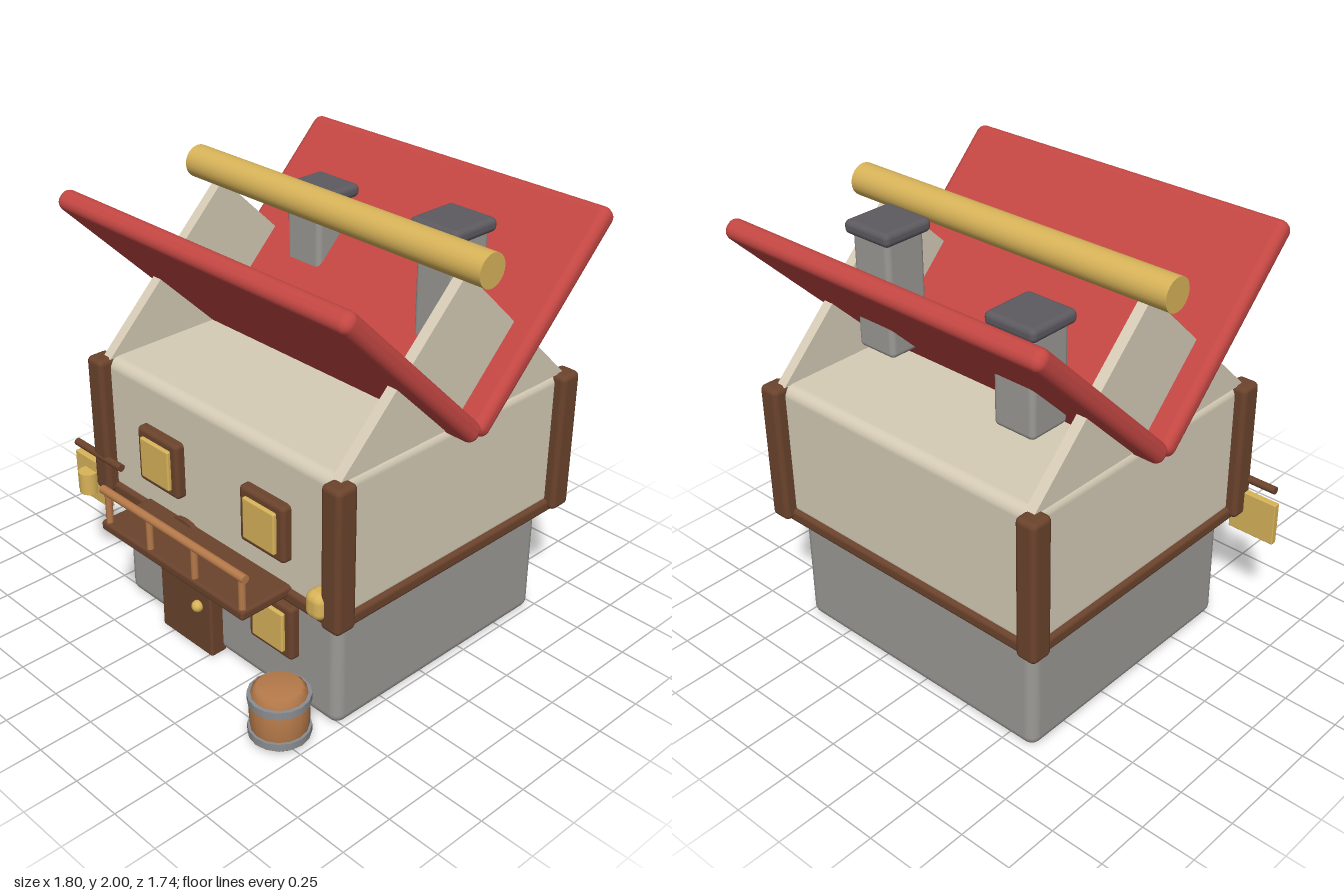
import * as THREE from 'three';
import { RoundedBoxGeometry } from 'three/addons/geometries/RoundedBoxGeometry.js';

const mat = (name, color) => Object.assign(new THREE.MeshStandardMaterial({ color }), { name });

export function createModel() {
  const model = new THREE.Group();
  model.name = 'house';
  const stone = mat('stone', 0x9c9a96);
  const plaster = mat('plaster', 0xd6ccb6);
  const darkWood = mat('dark wood', 0x6b432c);
  const lightWood = mat('light wood', 0xb67a4a);
  const red = mat('red roof', 0xc44743);
  const gold = mat('gold', 0xd8b359);
  const slate = mat('slate', 0x5d5a60);
  const iron = mat('iron', 0x8b8d90);

  const CX = 0.045, CZ = -0.096; // centre of the house body

  const add = (name, geometry, material, x, y, z) => {
    const mesh = new THREE.Mesh(geometry, material);
    mesh.name = name;
    mesh.position.set(x, y, z);
    model.add(mesh);
    return mesh;
  };
  // Rounded box given by its minimum and maximum along each axis
  const box = (name, material, [x0, x1], [y0, y1], [z0, z1], r = 0.015) =>
    add(name, new RoundedBoxGeometry(x1 - x0, y1 - y0, z1 - z0, 3, r), material,
      (x0 + x1) / 2, (y0 + y1) / 2, (z0 + z1) / 2);
  const rod = (name, material, r, length, x, y, z, axis = 'y', sides = 16) => {
    const g = new THREE.CylinderGeometry(r, r, length, sides);
    if (axis === 'x') g.rotateZ(Math.PI / 2);
    if (axis === 'z') g.rotateX(Math.PI / 2);
    return add(name, g, material, x, y, z);
  };

  // Storeys, and the timber band between them
  box('groundFloor', stone, [-0.65, 0.74], [0, 0.57], [-0.725, 0.535], 0.05);
  box('upperFloor', plaster, [-0.69, 0.78], [0.57, 1.23], [-0.765, 0.573], 0.05);
  box('timberBand', darkWood, [-0.71, 0.8], [0.545, 0.61], [-0.785, 0.593], 0.02);

  // Corner posts
  for (const sx of [-1, 1]) for (const sz of [-1, 1]) {
    const x = CX + sx * 0.735, z = CZ + sz * 0.67;
    box('cornerPost', darkWood, [x - 0.052, x + 0.052], [0.562, 1.23], [z - 0.055, z + 0.055], 0.025);
  }

  // Gable walls
  const triangle = new THREE.Shape([
    new THREE.Vector2(-0.667, 0), new THREE.Vector2(0.667, 0), new THREE.Vector2(0, 0.655),
  ]);
  const gable = new THREE.ExtrudeGeometry(triangle, { depth: 0.05, bevelEnabled: false });
  gable.translate(0, 0, -0.025).rotateY(Math.PI / 2);
  for (const s of [-1, 1]) add('gable', gable, plaster, CX + s * 0.71, 1.225, CZ);

  // Roof slabs spread upward in a V, with the ridge pole above
  for (const s of [-1, 1]) {
    const slab = add('roofSlab', new RoundedBoxGeometry(1.705, 0.092, 1.067, 4, 0.04), red,
      0.047, 1.587, CZ + s * 0.378);
    slab.rotation.x = -s * Math.PI / 4;
  }
  rod('ridgePole', gold, 0.073, 1.705, 0.047, 1.927, CZ, 'x', 24);

  // Chimneys
  for (const [x, z, y0, y1] of [[-0.377, -0.432, 1.35, 1.85], [0.47, -0.361, 1.37, 1.95]]) {
    box('chimneyStack', stone, [x - 0.105, x + 0.105], [y0, y1 - 0.03], [z - 0.105, z + 0.105], 0.025);
    box('chimneyCap', slate, [x - 0.129, x + 0.129], [y1 - 0.062, y1], [z - 0.129, z + 0.129], 0.025);
  }

  // Windows: frame and lit pane
  for (const [x, y, z] of [[-0.283, 0.877, 0.573], [0.38, 0.877, 0.573], [0.382, 0.375, 0.535]]) {
    box('windowFrame', darkWood, [x - 0.133, x + 0.133], [y - 0.133, y + 0.133], [z - 0.03, z + 0.045], 0.02);
    box('windowPane', gold, [x - 0.094, x + 0.094], [y - 0.097, y + 0.097], [z, z + 0.062], 0.008);
  }

  // Arched door and knob
  box('door', darkWood, [-0.322, 0.022], [0, 0.485], [0.515, 0.602], 0.012);
  rod('doorArch', darkWood, 0.163, 0.08, -0.15, 0.477, 0.557, 'z', 24);
  add('doorKnob', new THREE.SphereGeometry(0.028, 10, 8), gold, -0.055, 0.245, 0.612);

  // Balcony
  box('balconyFloor', darkWood, [-0.415, 0.51], [0.577, 0.625], [0.55, 0.837], 0.015);
  rod('balconyRail', lightWood, 0.019, 0.925, 0.047, 0.773, 0.815, 'x');
  for (const x of [-0.377, -0.096, 0.195, 0.487])
    rod('baluster', lightWood, 0.016, 0.16, x, 0.69, 0.815, 'y', 10);

  // Wall lantern
  box('lantern', gold, [0.66, 0.76], [0.6, 0.728], [0.555, 0.657], 0.04);

  // Hanging sign with a mug
  rod('signPole', darkWood, 0.018, 0.33, -0.715, 0.735, 0.615, 'x', 12);
  box('signBoard', gold, [-0.905, -0.67], [0.47, 0.68], [0.583, 0.615], 0.005);
  rod('signMug', gold, 0.045, 0.105, -0.79, 0.572, 0.632);

  // Barrel with iron hoops
  const profile = [[0, 0], [0.095, 0], [0.117, 0.02], [0.124, 0.08], [0.127, 0.133],
    [0.124, 0.186], [0.117, 0.245], [0.095, 0.265], [0, 0.265]].map(([r, y]) => new THREE.Vector2(r, y));
  add('barrel', new THREE.LatheGeometry(profile, 16), lightWood, 0.61, 0, 0.735);
  for (const y of [0.053, 0.215]) rod('barrelHoop', iron, 0.134, 0.035, 0.61, y, 0.735);

  return model;
}
